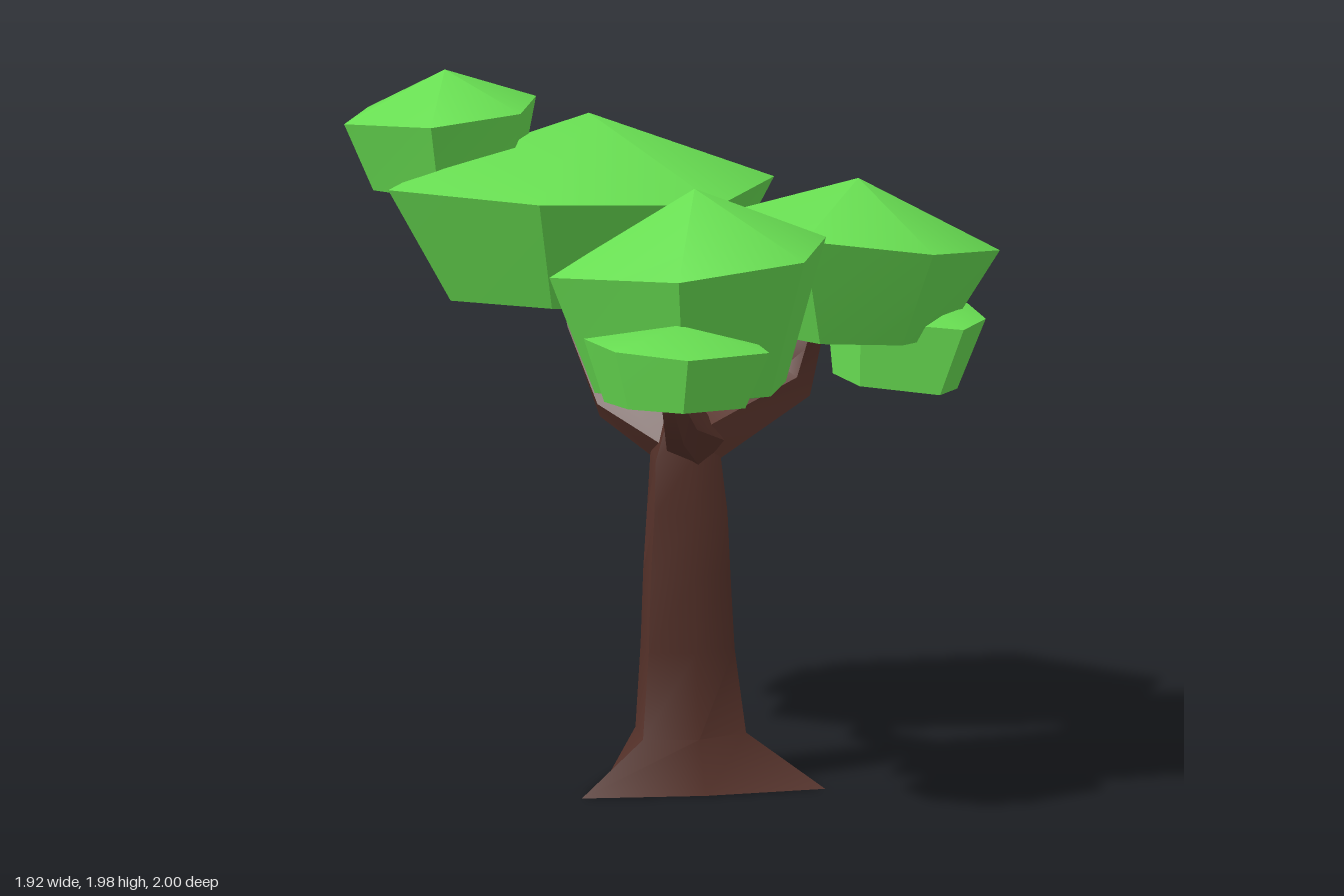
import * as THREE from 'three';
import { toCreasedNormals } from 'three/addons/utils/BufferGeometryUtils.js';

const leafMat = new THREE.MeshStandardMaterial({ color: 0x68de52 });
const barkMat = new THREE.MeshStandardMaterial({ color: 0x56322a, side: THREE.DoubleSide });
const V = (x, y, z) => new THREE.Vector3(x, y, z);

// Skin over rings of points (counter-clockwise seen from the end), with optional fan caps
function loft(rings, startTip, endTip, crease = 0.6) {
  const pos = [];
  const tri = (...pts) => pts.forEach((p) => pos.push(p.x, p.y, p.z));
  const n = rings[0].length;
  const last = rings[rings.length - 1];
  for (let i = 0; i < n; i++) {
    const j = (i + 1) % n;
    for (let k = 0; k + 1 < rings.length; k++) {
      const a = rings[k], b = rings[k + 1];
      tri(a[i], a[j], b[j]);
      tri(a[i], b[j], b[i]);
    }
    if (startTip) tri(startTip, rings[0][j], rings[0][i]);
    tri(last[i], last[j], endTip);
  }
  const geo = new THREE.BufferGeometry();
  geo.setAttribute('position', new THREE.Float32BufferAttribute(pos, 3));
  return toCreasedNormals(geo, crease);
}

function addMesh(group, name, geo, mat) {
  const mesh = new THREE.Mesh(geo, mat);
  mesh.name = name;
  group.add(mesh);
}

// Leaf clump: rim outline [x, z], tilted rim, smaller underside, peaked top
function clump({ rim, y, slope, apex, base, scale, baseSlope, dip = 0 }) {
  const cx = rim.reduce((s, p) => s + p[0], 0) / rim.length;
  const cz = rim.reduce((s, p) => s + p[1], 0) / rim.length;
  const top = rim.map(([x, z]) => V(x, y + slope[0] * (x - cx) + slope[1] * (z - cz), z));
  const bottom = rim.map(([x, z]) => {
    const dx = (x - cx) * scale, dz = (z - cz) * scale;
    return V(base[0] + dx, base[1] + baseSlope[0] * dx + baseSlope[1] * dz, base[2] + dz);
  });
  return loft([bottom, top], V(base[0], base[1] - dip, base[2]), V(...apex));
}

// Tapered branch through [x, y, z, radius] stations
function branch(stations, sides = 5) {
  const pts = stations.map((s) => V(s[0], s[1], s[2]));
  const rings = stations.map((s, k) => {
    const t = pts[Math.min(k + 1, pts.length - 1)].clone().sub(pts[Math.max(k - 1, 0)]).normalize();
    const u = V(0, 1, 0).cross(t).normalize();
    const v = t.clone().cross(u);
    return Array.from({ length: sides }, (_, i) => {
      const a = (i / sides) * Math.PI * 2;
      return pts[k].clone().addScaledVector(u, Math.cos(a) * s[3]).addScaledVector(v, Math.sin(a) * s[3]);
    });
  });
  return loft(rings, null, pts[pts.length - 1], 0.9);
}

export function createModel() {
  const tree = new THREE.Group();
  tree.name = 'tree';

  // Trunk: open foot with three root corners, then six-sided rings [y, minX, maxX, minZ, maxZ]
  const foot = [[0.53, 0.04], [0.21, -0.21], [-0.09, -0.3], [-0.12, 0.02], [-0.12, 0.34], [0.22, 0.22]]
    .map(([x, z]) => V(x, 0, z));
  const section = [[1, 0.53], [0.65, 0.1], [0.2, 0], [0, 0.5], [0.2, 1], [0.68, 0.9]];
  const levels = [
    [0.15, -0.04, 0.29, -0.18, 0.19], [0.4, -0.02, 0.26, -0.11, 0.16], [0.62, -0.01, 0.25, -0.09, 0.16],
    [0.8, 0, 0.24, -0.08, 0.14], [0.96, 0.01, 0.22, -0.08, 0.14], [1.07, 0.05, 0.18, -0.04, 0.1],
  ];
  const rings = levels.map(([y, x0, x1, z0, z1]) =>
    section.map(([fx, fz]) => V(x0 + fx * (x1 - x0), y, z0 + fz * (z1 - z0))));
  addMesh(tree, 'trunk', loft([foot, ...rings], null, V(0.12, 1.08, 0.03), 0.8), barkMat);

  // Branches, one to each large clump
  const branches = {
    leftBackBranch: [[0.1, 1.0, 0.02, 0.09], [-0.13, 1.085, -0.08, 0.058], [-0.25, 1.28, -0.2, 0.045], [-0.27, 1.33, -0.22, 0.04]],
    rightBackBranch: [[0.15, 1.0, 0.0, 0.09], [0.39, 1.14, -0.19, 0.06], [0.41, 1.24, -0.21, 0.045], [0.43, 1.34, -0.24, 0.04]],
    frontBranch: [[0.14, 1.01, 0.04, 0.09], [0.15, 1.08, 0.25, 0.05], [0.15, 1.19, 0.37, 0.03], [0.16, 1.28, 0.42, 0.025]],
  };
  for (const [name, stations] of Object.entries(branches)) addMesh(tree, name, branch(stations), barkMat);

  // Leaf clumps
  const clumps = {
    largeBackLeaves: {
      rim: [[0.2, -0.03], [0.2, -0.72], [-0.29, -1], [-0.78, -0.72], [-0.78, -0.03], [-0.29, 0.15]],
      y: 1.66, slope: [0, 0.07], apex: [-0.29, 1.85, -0.47], base: [-0.29, 1.32, -0.37], scale: 0.67, baseSlope: [0, 0.12], dip: 0.02,
    },
    frontLeaves: {
      rim: [[0.6, 0.6], [0.57, 0.2], [0.13, 0], [-0.12, 0.25], [-0.15, 0.62], [0.28, 0.82]],
      y: 1.62, slope: [0.1, 0], apex: [0.24, 1.83, 0.45], base: [0.22, 1.235, 0.4], scale: 0.69, baseSlope: [0.02, 0.04], dip: 0.05,
    },
    rightLeaves: {
      rim: [[0.86, 0.08], [0.96, -0.33], [0.58, -0.71], [0.17, -0.53], [0.12, -0.18], [0.5, 0.17]],
      y: 1.575, slope: [-0.08, 0.13], apex: [0.56, 1.74, -0.25], base: [0.53, 1.28, -0.25], scale: 0.64, baseSlope: [0, 0.08],
    },
    smallTopLeaves: {
      rim: [[-0.44, -0.25], [-0.46, -0.53], [-0.77, -0.67], [-0.95, -0.5], [-0.96, -0.24], [-0.67, -0.1]],
      y: 1.855, slope: [0.1, 0], apex: [-0.69, 1.98, -0.36], base: [-0.69, 1.63, -0.38], scale: 0.76, baseSlope: [0, 0.03],
    },
    smallFrontLeaves: {
      rim: [[0.53, 0.74], [0.43, 0.53], [0.17, 0.5], [-0.02, 0.74], [0.12, 0.94], [0.35, 1]],
      y: 1.425, slope: [-0.03, 0.05], apex: [0.27, 1.49, 0.76], base: [0.26, 1.255, 0.76], scale: 0.76, baseSlope: [0, 0.08],
    },
    smallRightLeaves: {
      rim: [[0.9, -0.13], [0.93, -0.28], [0.84, -0.43], [0.55, -0.42], [0.46, -0.27], [0.6, -0.11]],
      y: 1.35, slope: [-0.06, -0.05], apex: [0.7, 1.4, -0.3], base: [0.68, 1.145, -0.26], scale: 0.78, baseSlope: [-0.08, 0],
    },
  };
  for (const [name, spec] of Object.entries(clumps)) addMesh(tree, name, clump(spec), leafMat);

  return tree;
}
